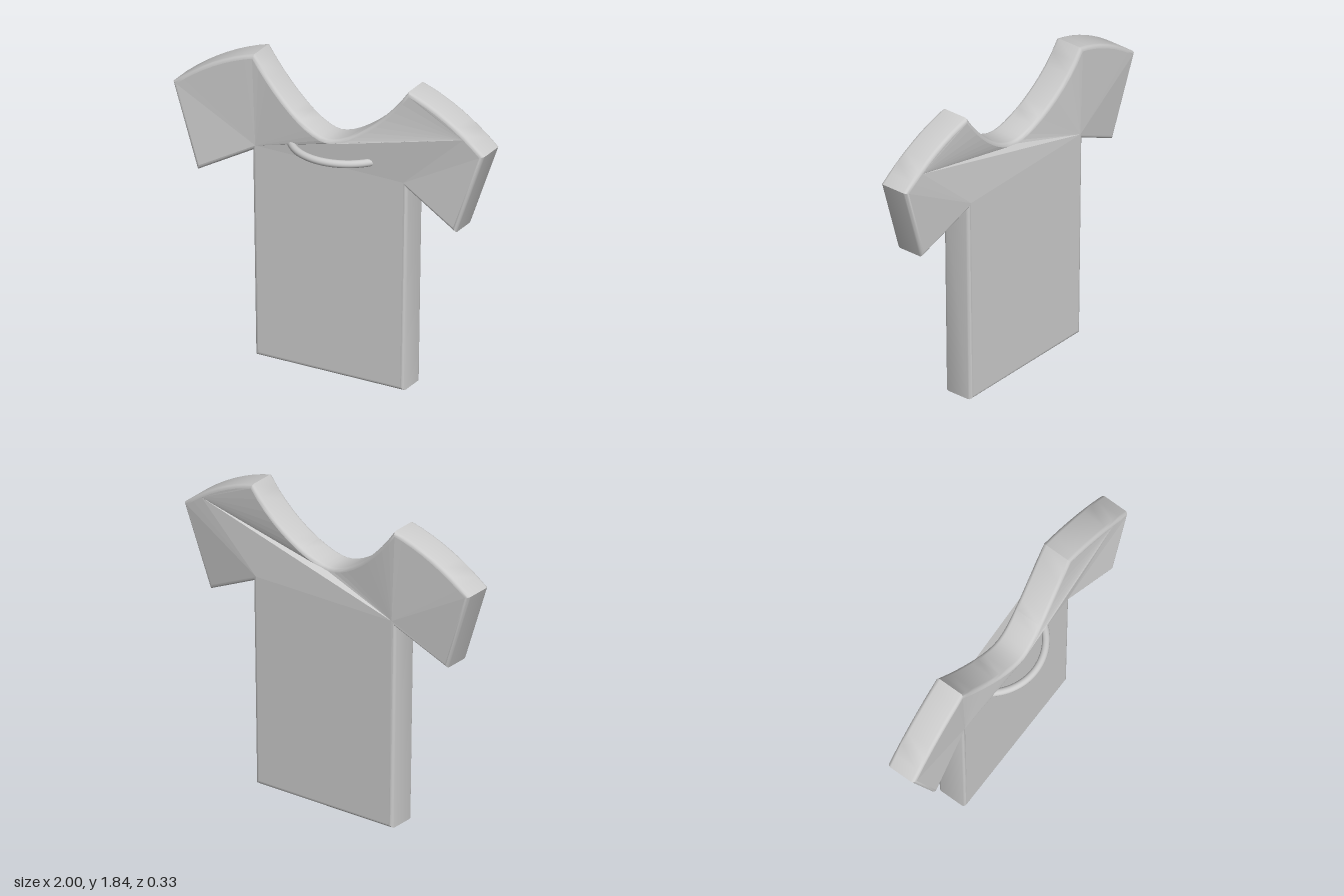
import * as THREE from 'three';
import { mergeGeometries, toCreasedNormals } from 'three/addons/utils/BufferGeometryUtils.js';

const V = (x, y, z = 0) => new THREE.Vector3(x, y, z);

// Shirt outline, counter-clockwise; z is how far that point is pushed forward
function shirtOutline() {
  const shoulder = (s) => new THREE.QuadraticBezierCurve3(V(s, 1.57, 0.03), V(0.76 * s, 1.77, 0.015), V(0.495 * s, 1.84));
  const neck = (s) => new THREE.CubicBezierCurve3(V(0.495 * s, 1.84), V(0.34 * s, 1.61), V(0.12 * s, 1.455, 0.05), V(0, 1.455, 0.05));
  return [
    V(-0.485, 0), V(0.47, 0), V(0.49, 1.245), V(0.83, 1.075, 0.05),
    ...shoulder(1).getPoints(8),
    ...neck(1).getPoints(10).slice(1),
    ...neck(-1).getPoints(10).reverse().slice(1),
    ...shoulder(-1).getPoints(8).reverse().slice(1),
    V(-0.83, 1.075, 0.05), V(-0.505, 1.25),
  ];
}

// Outline moved inwards by d with mitred corners, at depth z
function insetRing(pts, d, z) {
  const n = pts.length;
  const normal = (a, b) => new THREE.Vector2(b.y - a.y, a.x - b.x).normalize();
  return pts.map((p, i) => {
    const n1 = normal(pts[(i + n - 1) % n], p), n2 = normal(p, pts[(i + 1) % n]);
    const k = d / (1 + n1.dot(n2));
    return V(p.x - (n1.x + n2.x) * k, p.y - (n1.y + n2.y) * k, p.z + z);
  });
}

const fromTriangles = (verts) => new THREE.BufferGeometry().setFromPoints(verts);

function shirtGeometry() {
  const outline = shirtOutline(), n = outline.length;
  const mid = -0.0725, half = 0.0925, r = 0.022;

  // Rounded rim: quarter round at the front, straight wall, quarter round at the back
  const profile = [];
  for (let i = 0; i <= 4; i++) {
    const a = (i / 4) * Math.PI / 2;
    profile.push([r * (1 - Math.sin(a)), half - r * (1 - Math.cos(a))]);
  }
  const full = [...profile, ...profile.slice().reverse().map(([d, z]) => [d, -z])];
  const rings = full.map(([d, z]) => insetRing(outline, d, mid + z));

  const wall = [];
  for (let j = 0; j < rings.length - 1; j++) {
    for (let i = 0; i < n; i++) {
      const k = (i + 1) % n, f = rings[j], b = rings[j + 1];
      wall.push(f[i], b[i], f[k], f[k], b[i], b[k]);
    }
  }

  // Front and back panels as fans, with the slanting fold across the chest
  const right = 2, fold = 6, neckLow = 22, left = n - 1;
  const tris = [[0, 1, right], [0, right, left], [right, fold, left], [left, fold, neckLow]];
  const fan = (c, from, to) => { for (let i = from; i < to; i++) tris.push([c, i, i + 1]); };
  fan(right, 3, fold);
  fan(fold, fold + 1, neckLow);
  fan(left, neckLow, n - 2);
  const front = rings[0], back = rings[rings.length - 1], caps = [];
  for (const [a, b, c] of tris) caps.push(front[a], front[b], front[c], back[a], back[c], back[b]);

  const capGeo = fromTriangles(caps);
  capGeo.computeVertexNormals();
  return mergeGeometries([toCreasedNormals(fromTriangles(wall), 0.6), capGeo]);
}

export function createModel() {
  const group = new THREE.Group();
  const material = new THREE.MeshStandardMaterial({ color: 0xcccccc });

  const shirt = new THREE.Mesh(shirtGeometry(), material);
  shirt.name = 'shirt';
  group.add(shirt);

  // Curved loop standing out from the chest, ends sunk into the shirt
  const R = 0.32, span = 2 * Math.acos(0.18 / R);
  const loopGeo = new THREE.TorusGeometry(R, 0.022, 16, 40, span);
  loopGeo.rotateZ((Math.PI - span) / 2).rotateX(Math.PI / 2);
  const loop = new THREE.Mesh(loopGeo, material);
  loop.name = 'chestLoop';
  loop.position.set(0, 1.355, -0.177);
  group.add(loop);

  return group;
}
